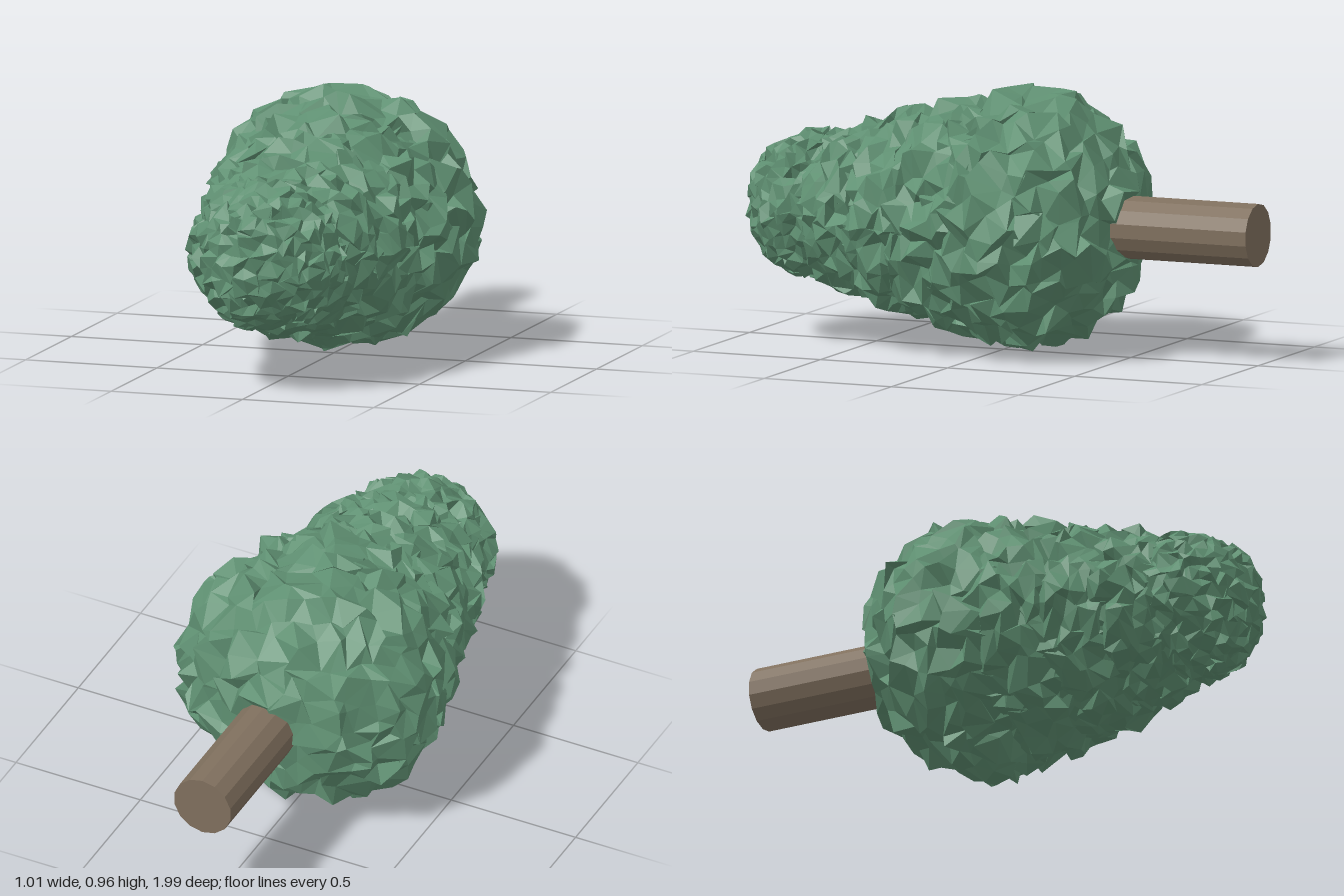
import * as THREE from 'three';
import { mergeVertices } from 'three/addons/utils/BufferGeometryUtils.js';

// Small seeded random generator, returns -1..1
function makeRandom(seed) {
  let s = seed;
  return () => {
    s = (s * 16807) % 2147483647;
    return (s / 2147483647) * 2 - 1;
  };
}

// Tuft of leaves: a faceted ellipsoid whose shared corners are nudged
function leafTuft(halfWidth, halfHeight, halfDepth, detail, random) {
  let geo = new THREE.IcosahedronGeometry(1, detail);
  geo.deleteAttribute('normal');
  geo.deleteAttribute('uv');
  geo = mergeVertices(geo, 1e-4);
  geo.scale(halfWidth, halfHeight, halfDepth);
  const p = geo.attributes.position;
  const nudge = halfHeight * 0.09;
  for (let i = 0; i < p.count; i++) {
    p.setXYZ(
      i,
      p.getX(i) + random() * nudge,
      p.getY(i) + random() * nudge,
      p.getZ(i) + random() * nudge * 0.8
    );
  }
  geo = geo.toNonIndexed();
  geo.computeVertexNormals();
  return geo;
}

export function createModel() {
  const model = new THREE.Group();
  model.name = 'fallenTree';

  const leafGreen = new THREE.MeshStandardMaterial({ color: 0x5f9072, flatShading: true });
  leafGreen.name = 'leafGreen';
  const barkBrown = new THREE.MeshStandardMaterial({ color: 0x80705e, flatShading: true });
  barkBrown.name = 'barkBrown';

  // Trunk lying along z
  const trunk = new THREE.Mesh(new THREE.CylinderGeometry(0.115, 0.115, 0.9, 14), barkBrown);
  trunk.name = 'trunk';
  trunk.rotation.x = Math.PI / 2;
  trunk.position.set(0, 0.475, -0.55);
  model.add(trunk);

  // Foliage: overlapping tufts shrinking toward the tip, [z, half width, half height, half depth, detail]
  const foliage = new THREE.Group();
  foliage.name = 'foliage';
  const tufts = [
    [-0.11, 0.488, 0.455, 0.4, 7],
    [0.1, 0.44, 0.417, 0.36, 7],
    [0.33, 0.385, 0.362, 0.3, 7],
    [0.53, 0.335, 0.31, 0.26, 7],
    [0.73, 0.277, 0.262, 0.245, 8],
  ];
  const random = makeRandom(4711);
  tufts.forEach(([z, width, height, depth, detail], i) => {
    const tuft = new THREE.Mesh(leafTuft(width, height, depth, detail, random), leafGreen);
    tuft.name = `leafTuft${i + 1}`;
    tuft.position.set(0, 0.483, z);
    foliage.add(tuft);
  });
  model.add(foliage);

  return model;
}
